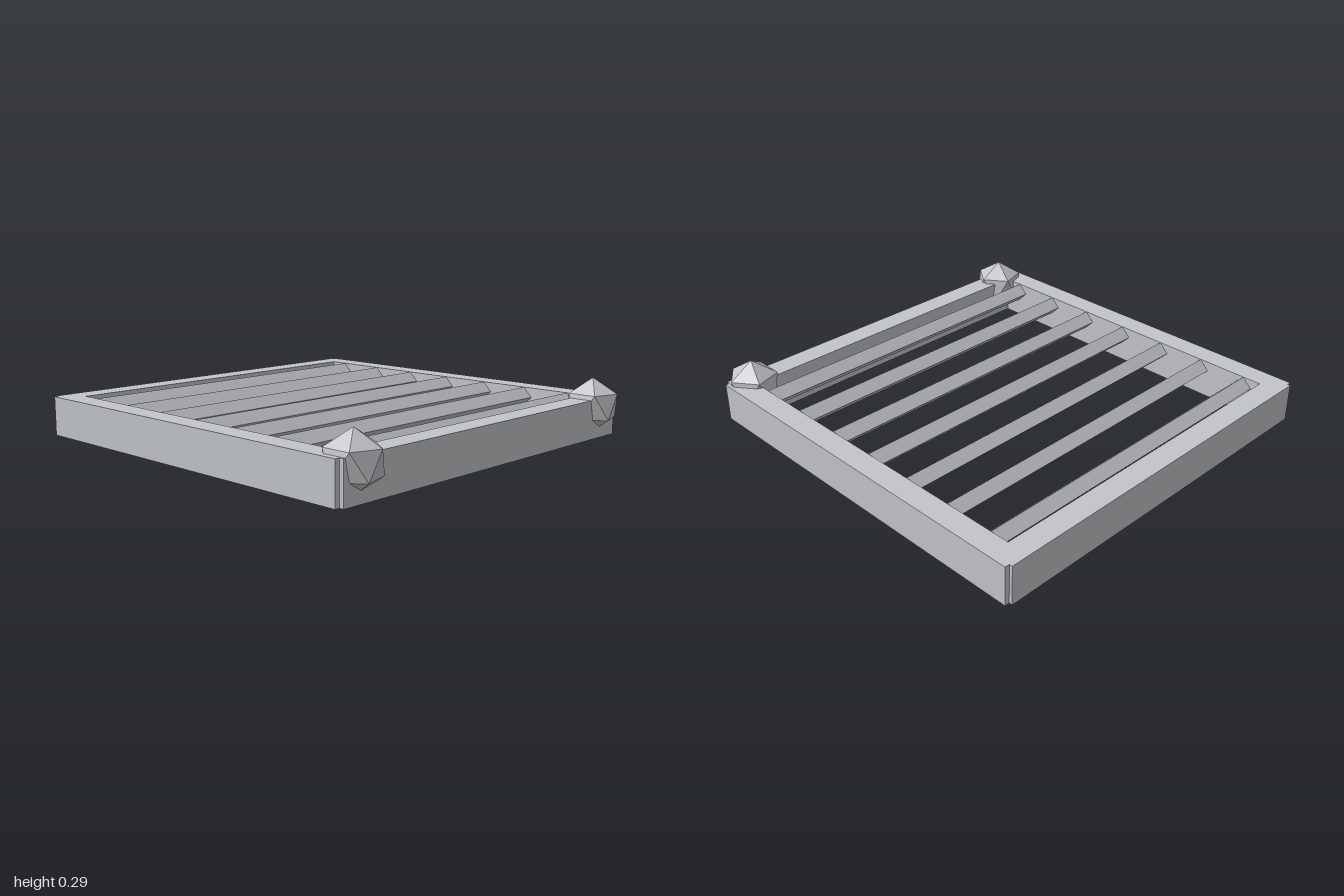
import * as THREE from 'three';

const steel = new THREE.MeshStandardMaterial({ color: 0xc2c5c9, flatShading: true });

function add(group, name, geometry, x, y, z) {
  const mesh = new THREE.Mesh(geometry, steel);
  mesh.name = name;
  mesh.position.set(x, y, z);
  group.add(mesh);
  return mesh;
}

export function createModel() {
  const model = new THREE.Group();
  model.name = 'grate';
  const height = 0.19;

  // Frame: side rails stop just short of the front and back rails, leaving notched corners
  for (const [name, s] of [['leftRail', 1], ['rightRail', -1]]) {
    add(model, name, new THREE.BoxGeometry(0.113, height, 1.905), s * 0.916, height / 2, -0.0325);
  }
  for (const [name, z] of [['frontRail', 0.885], ['backRail', -0.944]]) {
    add(model, name, new THREE.BoxGeometry(1.9, height, 0.113), 0, height / 2, z);
  }

  // Square bars turned on edge
  const bars = new THREE.Group();
  bars.name = 'bars';
  model.add(bars);
  const barGeometry = new THREE.BoxGeometry(1.74, 0.067, 0.067);
  for (let i = 0; i < 7; i++) {
    add(bars, 'bar', barGeometry, 0, 0.142, -0.794 + i * 0.254).rotation.x = Math.PI / 4;
  }

  // Faceted knobs on the front corners, one point straight up
  const knobGeometry = new THREE.IcosahedronGeometry(0.134, 0);
  knobGeometry.rotateZ(-Math.atan(2 / (1 + Math.sqrt(5))));
  add(model, 'leftKnob', knobGeometry, 0.84, 0.152, 0.886);
  add(model, 'rightKnob', knobGeometry, -0.84, 0.152, 0.886);

  return model;
}
